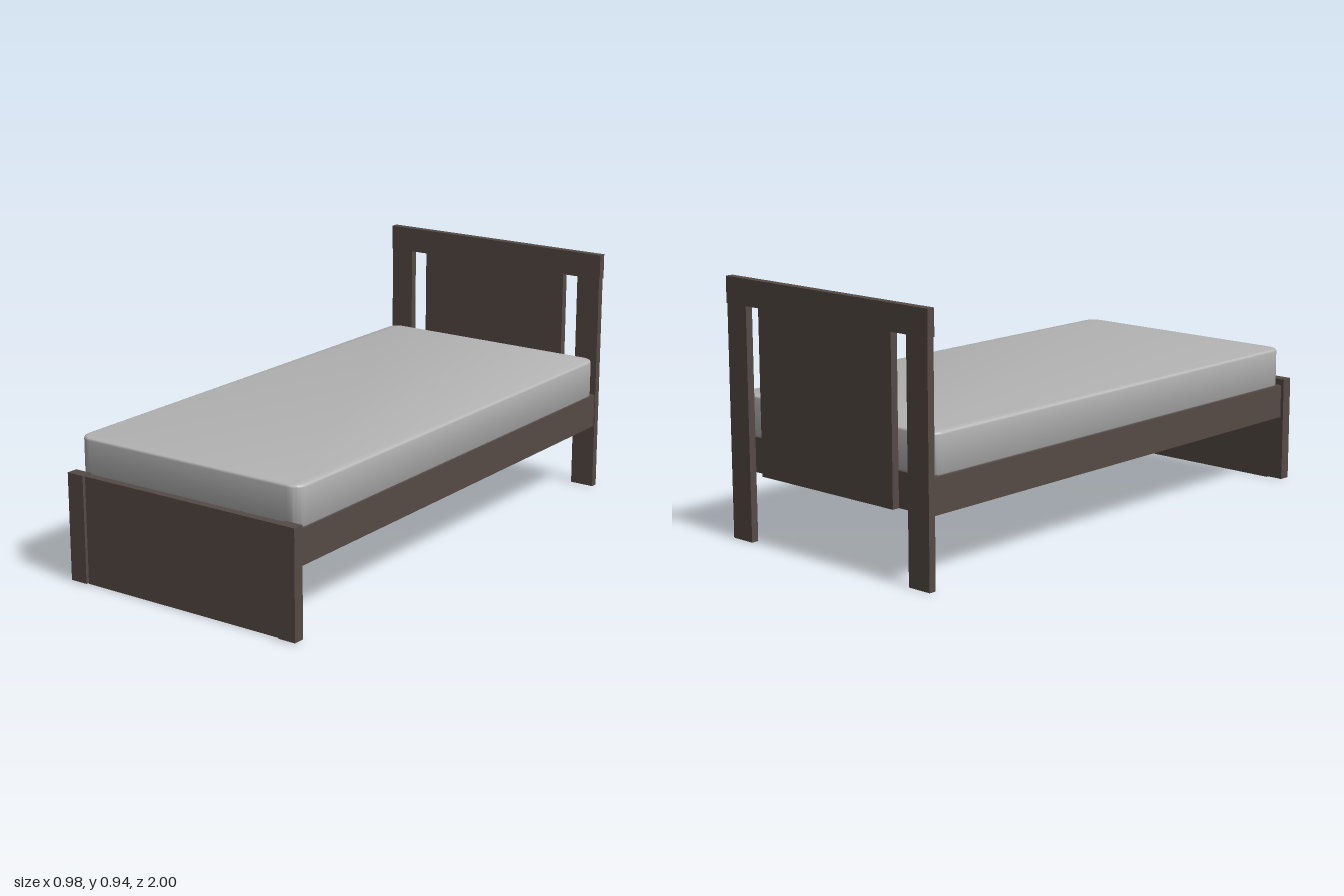
import * as THREE from 'three';
import { toCreasedNormals } from 'three/addons/utils/BufferGeometryUtils.js';

const wood = new THREE.MeshStandardMaterial({ name: 'darkWood', color: 0x564b45 });
const fabric = new THREE.MeshStandardMaterial({ name: 'greyFabric', color: 0xb4b4b4 });

// Board given by its limits along each axis
function board(name, [x0, x1], [y0, y1], [z0, z1]) {
  const mesh = new THREE.Mesh(new THREE.BoxGeometry(x1 - x0, y1 - y0, z1 - z0), wood);
  mesh.position.set((x0 + x1) / 2, (y0 + y1) / 2, (z0 + z1) / 2);
  mesh.name = name;
  return mesh;
}

function group(name, ...parts) {
  const g = new THREE.Group();
  g.name = name;
  g.add(...parts);
  return g;
}

// Rounded-corner slab with softly bevelled top and bottom edges
function createMattress() {
  const bevel = 0.01, r = 0.04;
  const x = 0.477 - bevel, z = 0.962 - bevel, height = 0.147;
  const s = new THREE.Shape();
  s.moveTo(-x + r, -z);
  s.lineTo(x - r, -z);
  s.absarc(x - r, -z + r, r, -Math.PI / 2, 0);
  s.absarc(x - r, z - r, r, 0, Math.PI / 2);
  s.absarc(-x + r, z - r, r, Math.PI / 2, Math.PI);
  s.absarc(-x + r, -z + r, r, Math.PI, Math.PI * 1.5);
  const geometry = new THREE.ExtrudeGeometry(s, {
    depth: height - 2 * bevel, bevelEnabled: true, bevelThickness: bevel,
    bevelSize: bevel, bevelSegments: 4, curveSegments: 8,
  });
  geometry.rotateX(-Math.PI / 2);
  const mesh = new THREE.Mesh(toCreasedNormals(geometry, 0.7), fabric);
  mesh.position.set(-0.002, 0.377 + bevel, -0.007);
  mesh.name = 'mattress';
  return mesh;
}

export function createModel() {
  const model = new THREE.Group();
  model.name = 'bed';

  // Headboard: two posts, a wide panel and a cap rail, with slots between
  const back = [-0.999, -0.971];
  model.add(group('headboard',
    board('rightHeadPost', [-0.489, -0.394], [0, 0.842], back),
    board('leftHeadPost', [0.382, 0.478], [0, 0.842], back),
    board('headPanel', [-0.324, 0.318], [0.25, 0.842], back),
    board('headRail', [-0.492, 0.481], [0.842, 0.937], [-1, -0.97])));

  // Footboard: panel set back slightly between two posts
  model.add(group('footboard',
    board('rightFootPost', [-0.492, -0.423], [0.003, 0.4], [0.957, 1]),
    board('leftFootPost', [0.421, 0.49], [0.003, 0.4], [0.957, 1]),
    board('footPanel', [-0.423, 0.421], [0, 0.395], [0.957, 0.988])));

  // Solid base and mattress
  model.add(board('bedBase', [-0.48, 0.475], [0.25, 0.377], [-0.971, 0.957]));
  model.add(createMattress());
  return model;
}
